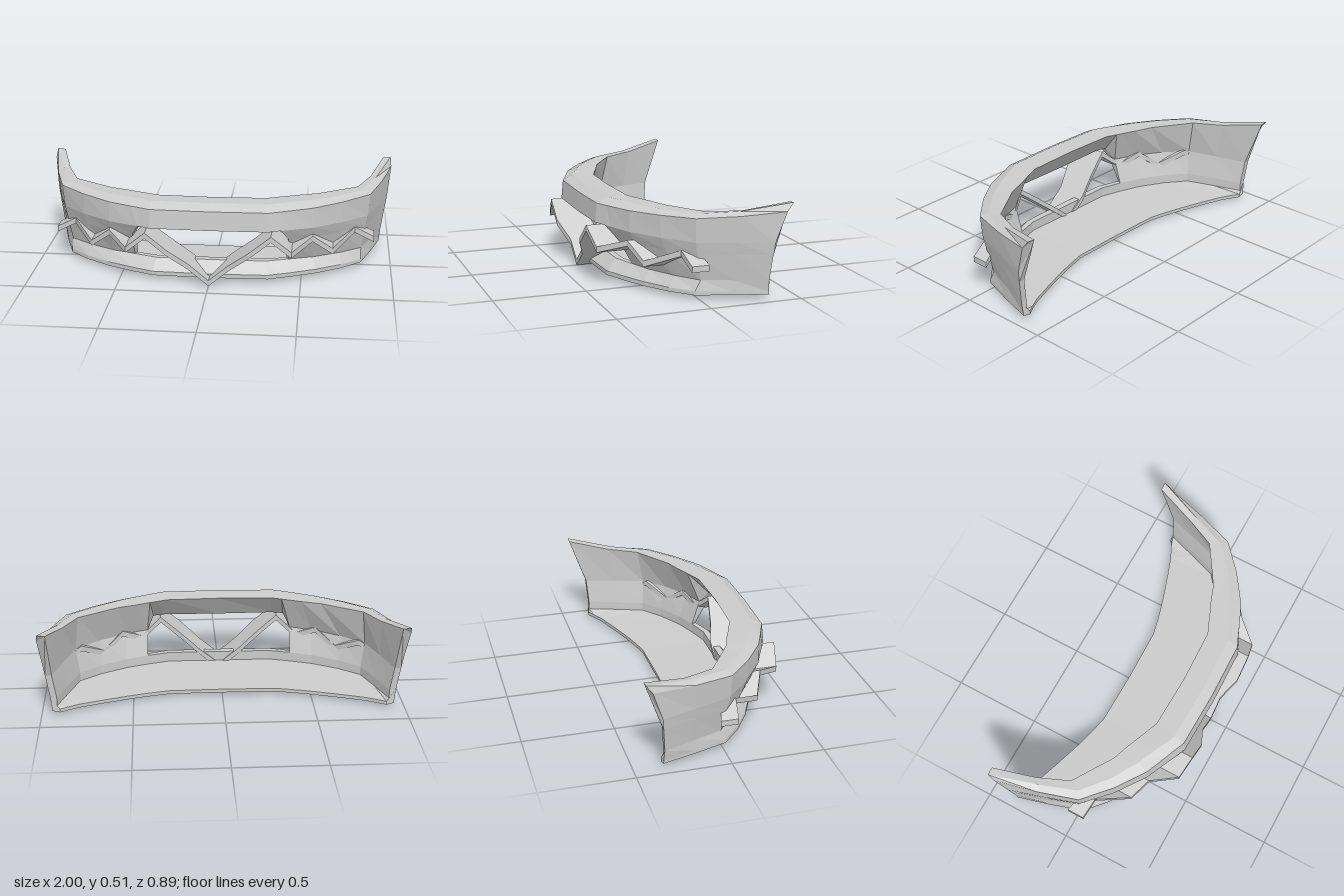
import * as THREE from 'three';

const material = new THREE.MeshStandardMaterial({ color: 0xcccccc, flatShading: true, side: THREE.DoubleSide });

// Joins closed loops of [x, y, z] points, ordered from -x to +x, and caps both ends.
function loft(name, loops) {
  const pos = [];
  const n = loops[0].length;
  const tri = (a, b, c) => pos.push(...a, ...b, ...c);
  for (let i = 0; i < loops.length - 1; i++) {
    for (let j = 0; j < n; j++) {
      const k = (j + 1) % n;
      const a = loops[i][j], b = loops[i][k], c = loops[i + 1][k], d = loops[i + 1][j];
      tri(a, b, c);
      tri(a, c, d);
    }
  }
  const first = loops[0], last = loops[loops.length - 1];
  for (let j = 1; j < n - 1; j++) {
    tri(first[0], first[j + 1], first[j]);
    tri(last[0], last[j], last[j + 1]);
  }
  const geometry = new THREE.BufferGeometry();
  geometry.setAttribute('position', new THREE.Float32BufferAttribute(pos, 3));
  geometry.computeVertexNormals();
  const mesh = new THREE.Mesh(geometry, material);
  mesh.name = name;
  return mesh;
}

const mirror = (loops) => loops.map((l) => l.map(([x, y, z]) => [-x, y, z])).reverse();
const bothSides = (loops) => [...mirror(loops.slice(1)), ...loops];
const lerp = (a, b, t) => a.map((v, i) => v + (b[i] - v) * t);

// Edge lines running from the centre to the left end, nine stations each.
const topInner = [[0, .45, .21], [.3, .45, .2], [.36, .45, .175], [.4, .45, .16], [.47, .45, .13],
  [.58, .45, .09], [.8, .45, -.05], [.875, .46, -.22], [.95, .505, -.445]];
const topFront = [[0, .455, .33], [.32, .455, .32], [.38, .455, .295], [.42, .455, .275], [.54, .453, .22],
  [.69, .45, .13], [.83, .451, .01], [.905, .463, -.19], [.995, .51, -.445]];
const upperFront = [[0, .425, .388], [.32, .425, .38], [.39, .425, .35], [.43, .426, .335], [.56, .428, .28],
  [.72, .431, .17], [.87, .435, .035], [.94, .445, -.18], [1, .465, -.41]];
const crease = [[0, .32, .398], [.32, .32, .39], [.39, .32, .36], [.43, .318, .34], [.56, .315, .28],
  [.72, .312, .165], [.86, .308, .03], [.925, .305, -.17], [.98, .3, -.355]];
const lipTop = [[0, .105, .27], [.3, .105, .265], [.39, .105, .235], [.43, .105, .22], [.56, .103, .17],
  [.71, .102, .085], [.83, .1, -.01], [.89, .1, -.17], [.95, .1, -.34]];
const lipFront = [[0, .045, .335], [.32, .045, .325], [.39, .045, .295], [.43, .045, .28], [.58, .045, .21],
  [.72, .044, .12], [.83, .042, .02], [.89, .04, -.16], [.942, .035, -.345]];
const floorBack = [[0, .013, -.14], [.3, .013, -.145], [.39, .013, -.165], [.43, .013, -.175], [.52, .013, -.2],
  [.66, .013, -.245], [.79, .013, -.29], [.86, .013, -.325], [.9, .013, -.348]];

// Moves a point towards the inside of the shell, turning from -z to -x along the sweep.
const inward = ([x, y, z], i, depth) => {
  const k = i / 8;
  return [x - .035 * k, y, z - depth * (1 - k)];
};

function buildShell(group) {
  const beam = [], wall = [], tray = [];
  for (let i = 0; i < 9; i++) {
    const low = i < 3 ? crease[i] : lerp(crease[i], lipTop[i], .32);
    const lowInner = inward(low, i, .1);
    const lip = lipTop[i];
    const lipInner = inward(lip, i, .04);
    const front = lipFront[i], back = floorBack[i];
    // The upper beam dips at the fourth station to chamfer the opening corner.
    beam.push([topInner[i], topFront[i], upperFront[i], crease[i], low, lowInner]);
    if (i > 2) wall.push([low, lip, lipInner, lowInner]);
    const seam = [lipInner[0], .05, lipInner[2]];
    tray.push([lip, front, [front[0], .022, front[2]], back, [back[0], .033, back[2]], seam, lipInner]);
  }
  group.add(loft('upperBeam', bothSides(beam)));
  group.add(loft('leftWall', wall));
  group.add(loft('rightWall', mirror(wall)));
  group.add(loft('floorAndLip', bothSides(tray)));
}

// Zigzag fin: x, y, front z and back z at each bend.
function buildFin() {
  const path = [[0, .016, .4, .225], [.11, .108, .4, .22], [.22, .2, .447, .25], [.34, .298, .447, .27],
    [.45, .205, .425, .22], [.56, .255, .293, .17], [.67, .168, .242, .1], [.79, .24, .082, 0], [.9, .18, .065, -.03]];
  const h = .016;
  const loops = path.map(([x, y, f, b]) => [[x, y + h, b], [x, y + h, f], [x, y - h, f], [x, y - h, b]]);
  return loft('zigzagFin', bothSides(loops));
}

export function createModel() {
  const group = new THREE.Group();
  group.name = 'frontBumper';
  buildShell(group);
  group.add(buildFin());
  return group;
}
